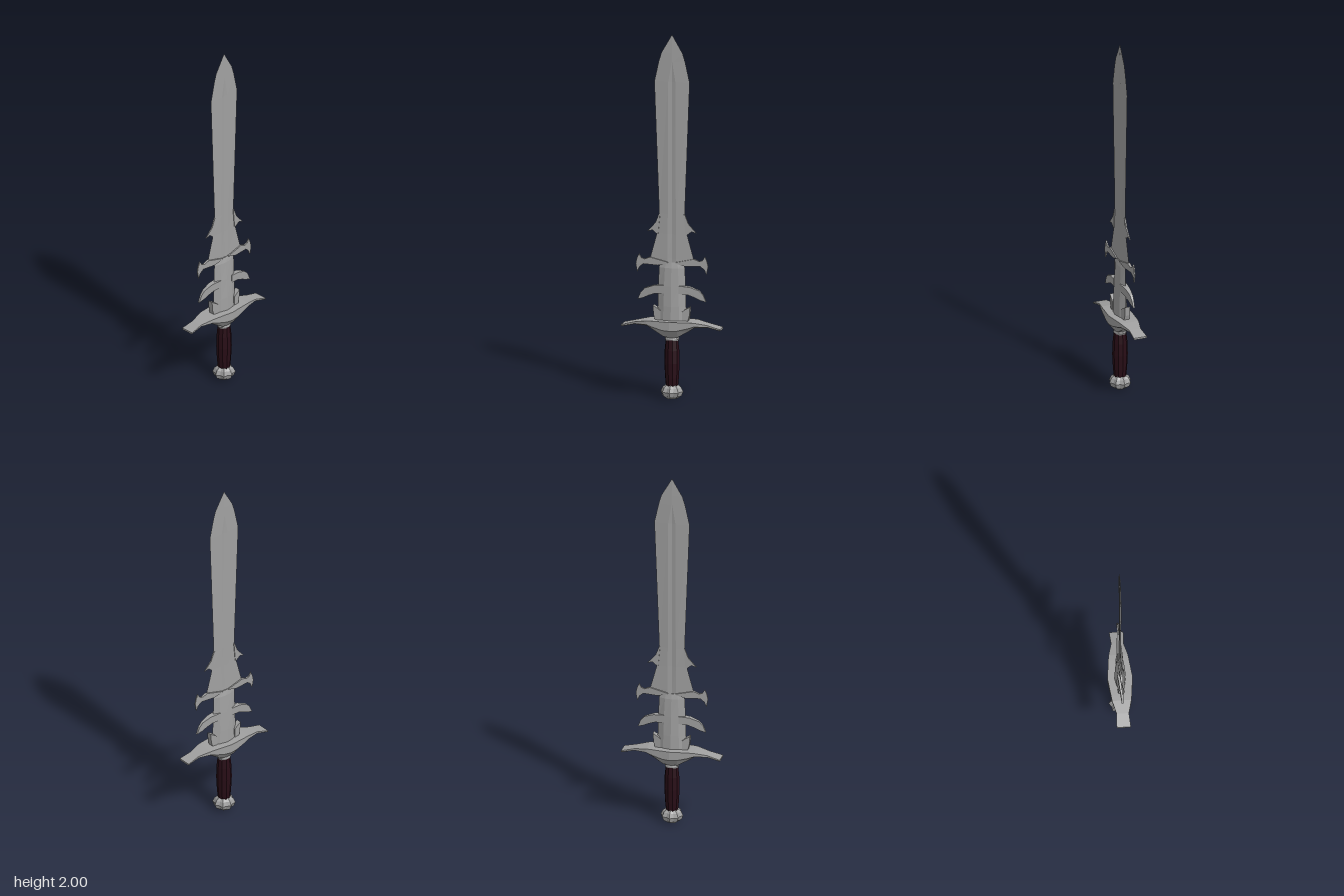
import * as THREE from 'three';

const steel = new THREE.MeshStandardMaterial({ color: 0xa0a0a0, flatShading: true });
const leather = new THREE.MeshStandardMaterial({ color: 0x280d16, flatShading: true });

// Skin a list of equal rings of [x, y, z] and cap both ends.
function loft(rings) {
  const n = rings[0].length, last = (rings.length - 1) * n, index = [];
  for (let i = 0; i < rings.length - 1; i++) {
    for (let j = 0; j < n; j++) {
      const a = i * n + j, b = i * n + (j + 1) % n;
      index.push(a, b, b + n, a, b + n, a + n);
    }
  }
  for (let j = 1; j < n - 1; j++) {
    index.push(0, j + 1, j, last, last + j, last + j + 1);
  }
  const g = new THREE.BufferGeometry();
  g.setAttribute('position', new THREE.Float32BufferAttribute(rings.flat(2), 3));
  g.setIndex(index);
  const flat = g.toNonIndexed();
  flat.computeVertexNormals();
  return flat;
}

// Blade section: half width w, half thickness t at z = f and c on the centre line.
const bladeRing = ([y, w, f, t, c]) => [
  [0, y, w], [t, y, f], [c, y, 0], [t, y, -f], [0, y, -w], [-t, y, -f], [-c, y, 0], [-t, y, f],
];

// Flat spike drawn in (z, y), thinning from half thickness t towards its outer end.
function spike(points, side, t) {
  const shape = new THREE.Shape(points.map(([z, y]) => new THREE.Vector2(z * side, y)));
  const g = new THREE.ExtrudeGeometry(shape, { depth: 2 * t, bevelEnabled: false });
  g.translate(0, 0, -t).rotateY(-Math.PI / 2);
  const p = g.attributes.position;
  for (let i = 0; i < p.count; i++) {
    p.setX(i, p.getX(i) * Math.max(0.2, 1 - Math.abs(p.getZ(i)) / 0.23));
  }
  g.computeVertexNormals();
  return g;
}

export function createModel() {
  const model = new THREE.Group();
  const add = (name, geometry, material = steel) => {
    const mesh = new THREE.Mesh(geometry, material);
    mesh.name = name;
    model.add(mesh);
    return mesh;
  };

  // Long thin blade with a shallow groove, flaring at its foot
  add('blade', loft([
    [0.735, 0.11, 0.024, 0.008, 0.004], [0.77, 0.12, 0.024, 0.007, 0.003],
    [0.905, 0.083, 0.023, 0.005, 0.001], [1.015, 0.07, 0.022, 0.005, 0.001],
    [1.74, 0.097, 0.02, 0.005, 0.001], [1.85, 0.073, 0.002, 0.004, 0.004],
    [1.9, 0.058, 0.001, 0.003, 0.003], [2, 0.0005, 0.0003, 0.0005, 0.0005],
  ].map(bladeRing)));

  // Thicker lower blade with a central ridge
  add('bladeCore', loft([
    [0.41, 0.088, 0.046, 0.022, 0.031], [0.51, 0.078, 0.042, 0.021, 0.029],
    [0.62, 0.074, 0.04, 0.017, 0.023], [0.72, 0.072, 0.036, 0.012, 0.016],
    [0.75, 0.06, 0.03, 0.007, 0.009],
  ].map(bladeRing)));

  // Mirrored pairs of barbs along both edges
  const barbs = {
    upperBarb: [0.006, [[0.065, 1.015], [0.071, 1.015], [0.09, 0.965], [0.135, 0.915],
      [0.107, 0.923], [0.085, 0.905], [0.075, 0.905]]],
    middleBarb: [0.016, [[0.02, 0.752], [0.08, 0.765], [0.12, 0.774], [0.15, 0.762], [0.168, 0.768],
      [0.181, 0.79], [0.192, 0.765], [0.199, 0.735], [0.19, 0.69], [0.178, 0.718], [0.157, 0.735],
      [0.075, 0.732], [0.02, 0.748]]],
    lowerBarb: [0.024, [[0.04, 0.625], [0.1, 0.62], [0.15, 0.602], [0.172, 0.578], [0.188, 0.54],
      [0.155, 0.55], [0.125, 0.565], [0.09, 0.578], [0.04, 0.582]]],
    baseBarb: [0.026, [[0.06, 0.42], [0.086, 0.42], [0.098, 0.46], [0.102, 0.512],
      [0.075, 0.497], [0.06, 0.485]]],
  };
  for (const [name, [t, points]] of Object.entries(barbs)) {
    add(name + 'Front', spike(points, 1, t));
    add(name + 'Back', spike(points, -1, t));
  }

  // Crossguard: z, half width, top, side bottom, keel half width, keel height
  const half = [
    [0, 0.068, 0.434, 0.385, 0.035, 0.345], [0.04, 0.063, 0.434, 0.387, 0.033, 0.347],
    [0.1, 0.056, 0.434, 0.402, 0.028, 0.382], [0.13, 0.052, 0.433, 0.412, 0.028, 0.402],
    [0.2, 0.033, 0.42, 0.41, 0.024, 0.406], [0.272, 0.038, 0.402, 0.396, 0.034, 0.392],
  ];
  const mirrored = half.slice(1).reverse().map(([z, ...rest]) => [-z, ...rest]);
  add('crossguard', loft([...mirrored, ...half].map(([z, w, top, side, k, keel]) => [
    [w, top, z], [-w, top, z], [-w, side, z], [-k, keel, z], [k, keel, z], [w, side, z],
  ])));

  // Turned collar and grip
  const turned = (points, sides) =>
    new THREE.LatheGeometry(points.map(([r, y]) => new THREE.Vector2(r, y)), sides);
  add('collar', turned([[0, 0.322], [0.036, 0.322], [0.04, 0.332], [0.037, 0.342],
    [0.044, 0.352], [0, 0.362]], 10)).scale.x = 0.9;
  add('grip', turned([[0, 0.07], [0.033, 0.07], [0.038, 0.12], [0.042, 0.2], [0.04, 0.27],
    [0.034, 0.328], [0, 0.328]], 10), leather);

  // Fluted pommel: every second meridian is drawn in
  const pommel = turned([[0, 0], [0.03, 0.004], [0.053, 0.02], [0.062, 0.042], [0.052, 0.064],
    [0.034, 0.079], [0, 0.084]], 16);
  const p = pommel.attributes.position;
  for (let i = 0; i < p.count; i++) {
    const k = Math.floor(i / 7) % 2 ? 0.82 : 1;
    p.setX(i, p.getX(i) * k);
    p.setZ(i, p.getZ(i) * k);
  }
  pommel.computeVertexNormals();
  add('pommel', pommel);

  return model;
}
